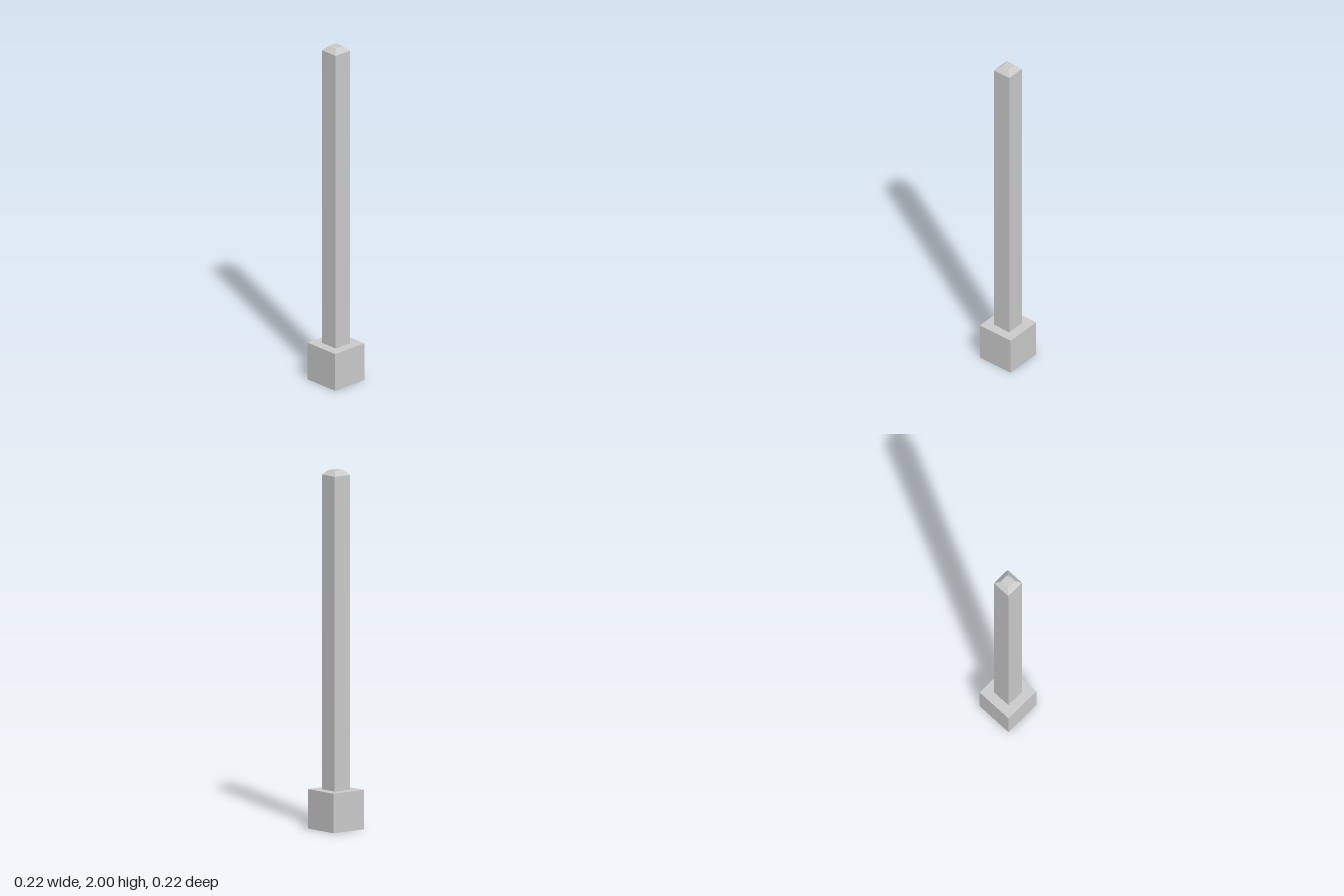
import * as THREE from 'three';

const BASE = 0.22;      // edge of the cubic foot
const SHAFT = 0.109;    // width of the square shaft
const CAP_TOP = 0.055;  // width of the flat on top of the cap
const SHOULDER = 1.973; // height where the shaft starts to taper
const TOP = 2;

export function createModel() {
  const group = new THREE.Group();
  group.name = 'post';
  const material = new THREE.MeshStandardMaterial({ color: 0xcccccc, flatShading: true });

  const add = (name, geometry, y) => {
    const mesh = new THREE.Mesh(geometry, material);
    mesh.name = name;
    mesh.position.y = y;
    group.add(mesh);
  };

  // Cubic foot
  add('base', new THREE.BoxGeometry(BASE, BASE, BASE), BASE / 2);

  // Square shaft, open at the shoulder, with its tapered cap as one profile:
  // four-sided lathes turned by 45 degrees so the faces are axis-aligned
  const r = (width) => width / Math.SQRT2;
  const square = (top, bottom, height, open) =>
    new THREE.CylinderGeometry(r(top), r(bottom), height, 4, 1, open).rotateY(Math.PI / 4);

  add('shaft', square(SHAFT, SHAFT, SHOULDER - BASE, true), (SHOULDER + BASE) / 2);
  add('cap', square(CAP_TOP, SHAFT, TOP - SHOULDER, false), (TOP + SHOULDER) / 2);

  return group;
}
